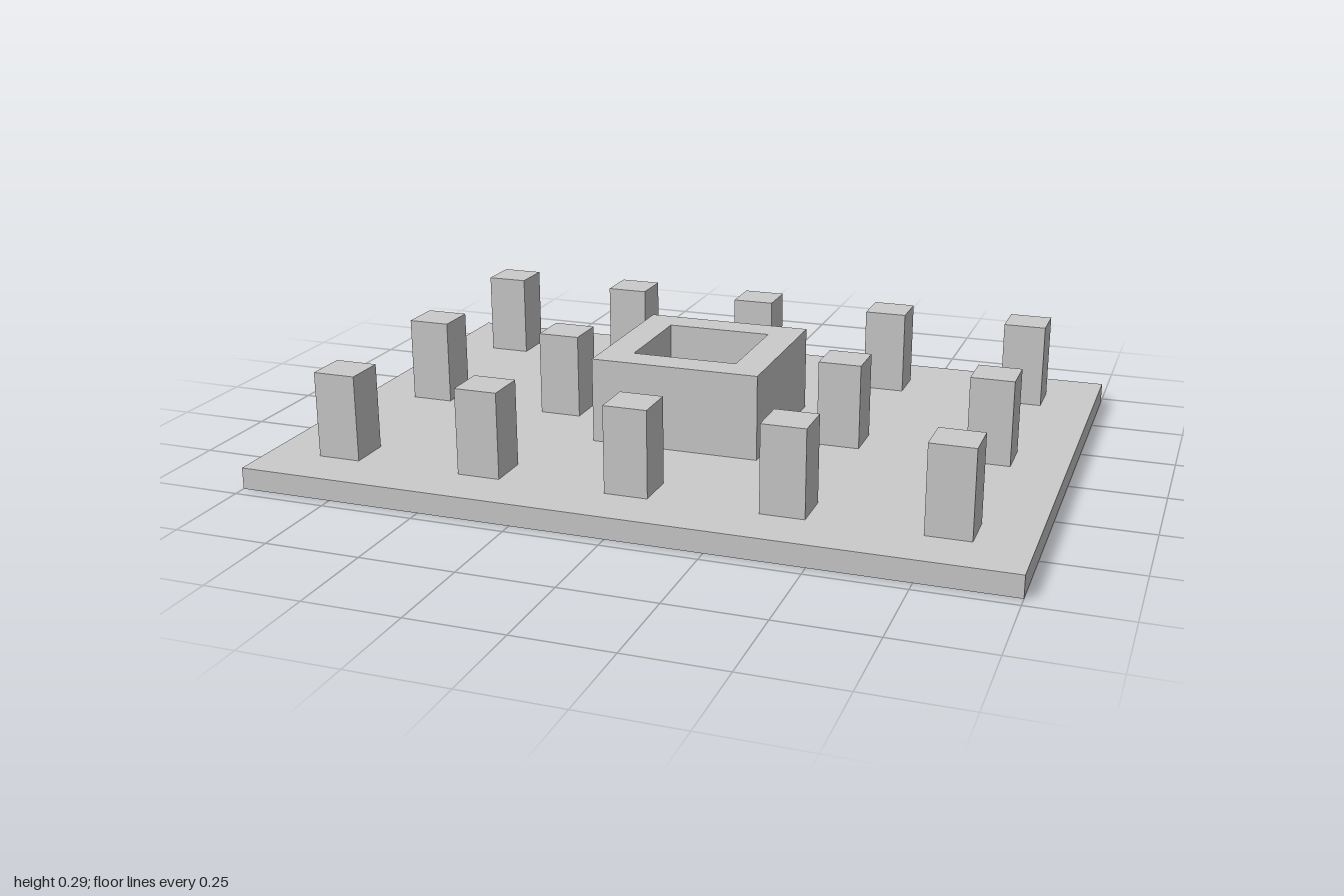
import * as THREE from 'three';

const U = 1 / 35; // grid unit
const PLATE = 2 * U, HEIGHT = 10 * U;

// Rectangular slab with a square through-hole, lying flat with its base at y
function framedSlab(w, d, hole, y, h) {
  const rect = (T, a, b) => new T([
    new THREE.Vector2(-a / 2, -b / 2), new THREE.Vector2(a / 2, -b / 2),
    new THREE.Vector2(a / 2, b / 2), new THREE.Vector2(-a / 2, b / 2),
  ]);
  const shape = rect(THREE.Shape, w, d);
  shape.holes.push(rect(THREE.Path, hole, hole));
  return new THREE.ExtrudeGeometry(shape, { depth: h, bevelEnabled: false })
    .rotateX(-Math.PI / 2)
    .translate(0, y, 0);
}

export function createModel() {
  const model = new THREE.Group();
  model.name = 'pinPlate';
  const material = new THREE.MeshStandardMaterial({ color: 0xcccccc, flatShading: true });
  const add = (name, geometry, parent = model) => {
    const mesh = new THREE.Mesh(geometry, material);
    mesh.name = name;
    parent.add(mesh);
    return mesh;
  };

  // Base plate and the square collar around its central opening
  add('basePlate', framedSlab(70 * U, 50 * U, 10 * U, 0, PLATE));
  add('squareCollar', framedSlab(16 * U, 16 * U, 10 * U, PLATE, HEIGHT - PLATE));

  // Grid of 5 x 3 square pins, leaving the centre to the collar
  const pins = new THREE.Group();
  pins.name = 'pins';
  model.add(pins);
  const pinGeometry = new THREE.BoxGeometry(4 * U, HEIGHT - PLATE, 4 * U);
  for (let i = -2; i <= 2; i++) {
    for (let j = -1; j <= 1; j++) {
      if (i === 0 && j === 0) continue;
      add('pin', pinGeometry, pins).position.set(i * 14 * U, (HEIGHT + PLATE) / 2, j * 18 * U);
    }
  }
  return model;
}
